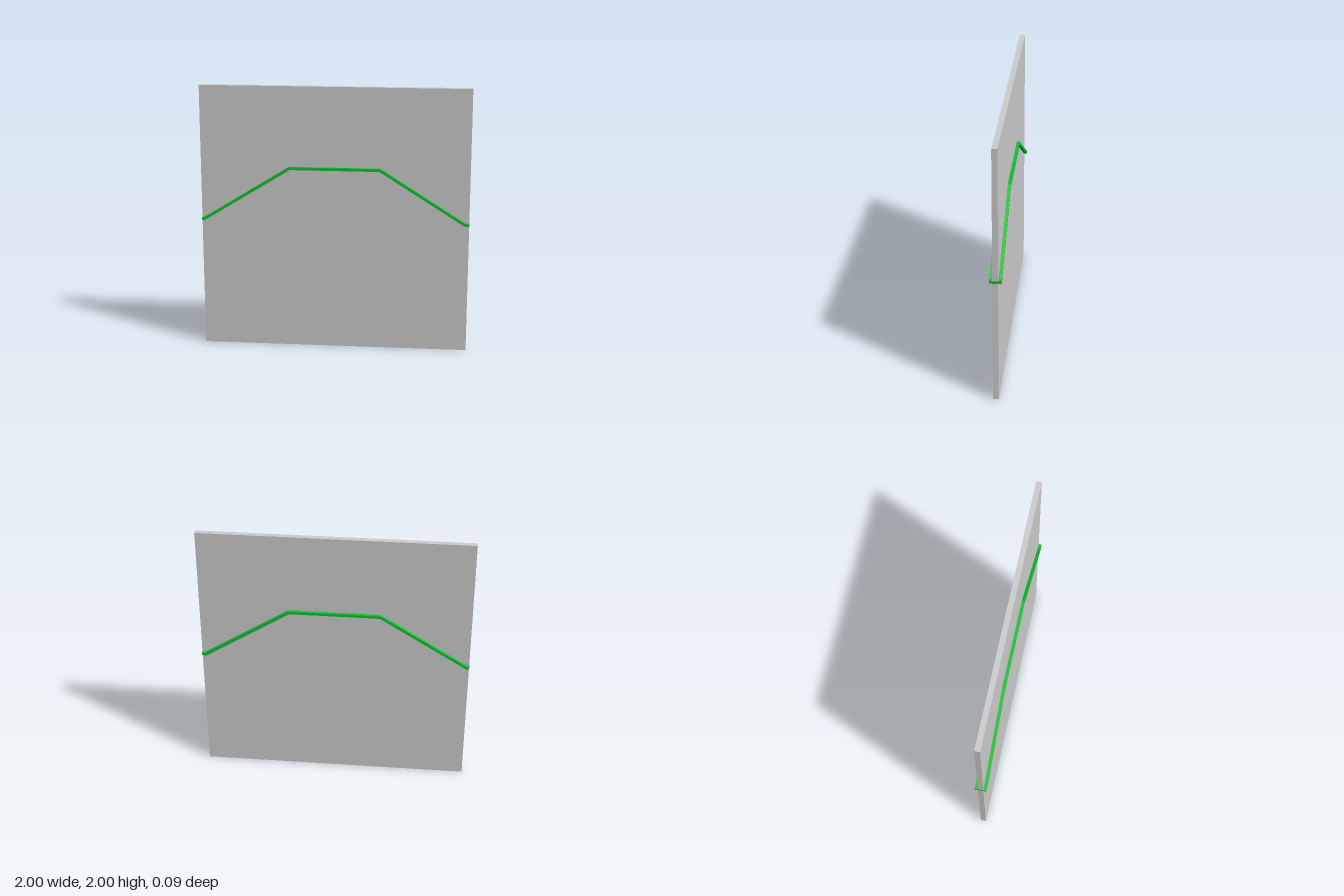
import * as THREE from 'three';

// Closed band outline of constant thickness with mitred corners
function bandShape(path, thickness) {
  const pts = path.map(([x, y]) => new THREE.Vector2(x, y));
  const normal = (a, b) => {
    const d = b.clone().sub(a).normalize();
    return new THREE.Vector2(-d.y, d.x);
  };
  const upper = [], lower = [];
  pts.forEach((p, i) => {
    const n0 = normal(pts[Math.max(i - 1, 0)], pts[Math.max(i, 1)]);
    const n1 = i < pts.length - 1 ? normal(p, pts[i + 1]) : n0;
    const miter = n0.clone().add(n1).normalize();
    miter.multiplyScalar(thickness / 2 / miter.dot(n1));
    upper.push(p.clone().add(miter));
    lower.push(p.clone().sub(miter));
  });
  return new THREE.Shape([...lower, ...upper.reverse()]);
}

export function createModel() {
  const model = new THREE.Group();
  model.name = 'panelWithTrim';

  // Thin square panel
  const panel = new THREE.Mesh(
    new THREE.BoxGeometry(1.998, 2, 0.04),
    new THREE.MeshStandardMaterial({ color: 0xcccccc })
  );
  panel.name = 'panel';
  panel.position.y = 1;
  model.add(panel);

  // Bent green strip running through the panel, proud of both faces
  const path = [[-1, 0.99], [-0.98, 0.99], [-0.335, 1.39], [0.335, 1.39], [0.967, 0.99], [1, 0.99]];
  const depth = 0.086;
  const geometry = new THREE.ExtrudeGeometry(bandShape(path, 0.02), { depth, bevelEnabled: false });
  geometry.translate(0, 0, -depth / 2);
  const strip = new THREE.Mesh(geometry, new THREE.MeshStandardMaterial({ color: 0x10c030 }));
  strip.name = 'trimStrip';
  model.add(strip);

  return model;
}
